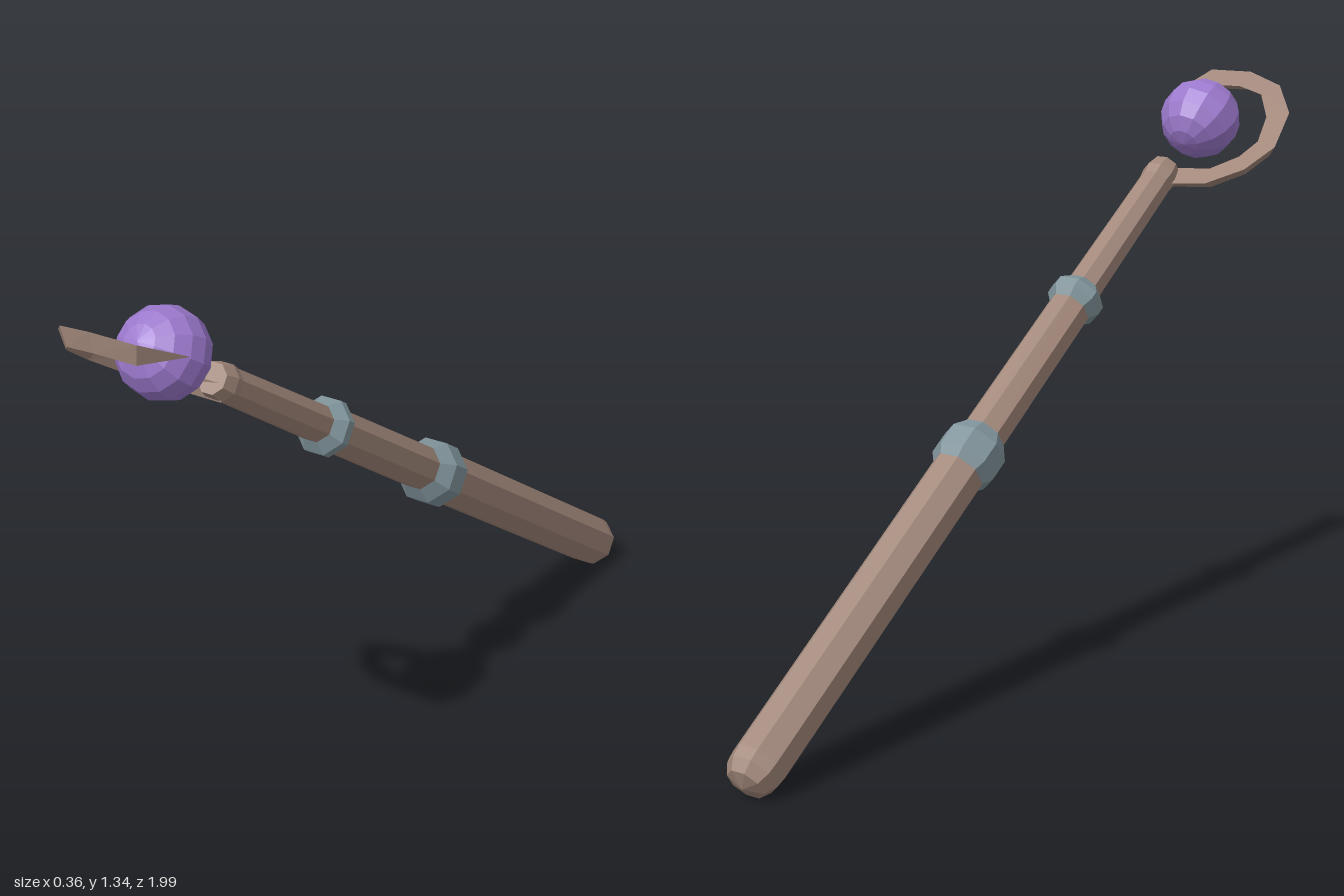
import * as THREE from 'three';

const mat = (color, extra = {}) => new THREE.MeshStandardMaterial({ color, flatShading: true, ...extra });

export function createModel() {
  const staff = new THREE.Group();
  staff.name = 'staff';
  const wood = mat(0xa08679), metal = mat(0x80949b), crystal = mat(0x9c79cd);

  const add = (name, geometry, material) => {
    const mesh = new THREE.Mesh(geometry, material);
    mesh.name = name;
    staff.add(mesh);
    return mesh;
  };
  // Eight-sided turned part; profile is [radius, height] from bottom to top
  const turned = (name, profile, material) => {
    const points = profile.map(([r, y]) => new THREE.Vector2(r, y));
    return add(name, new THREE.LatheGeometry(points, 8, Math.PI / 8), material);
  };

  // Shaft: thick handle with a rounded butt, then two thinner lengths
  turned('handle', [[0, 0], [0.046, 0.014], [0.062, 0.042], [0.065, 0.07], [0.064, 0.96], [0, 0.96]], wood);
  turned('middleShaft', [[0.055, 0.96], [0.052, 1.51]], wood);
  turned('upperShaft', [[0.045, 1.5], [0.041, 1.93], [0.045, 1.955], [0.036, 1.99], [0, 1.99]], wood);

  // Metal collars over the joints
  turned('lowerCollar', [[0.056, 0.92], [0.079, 0.955], [0.079, 1.012], [0.052, 1.055]], metal);
  turned('upperCollar', [[0.047, 1.468], [0.068, 1.496], [0.068, 1.52], [0.043, 1.55]], metal);

  // Crook: flat-backed hook with a ridge, each station [outer x, outer y, inner x, inner y]
  const stations = [
    [0.02, 1.93, 0.02, 1.99],
    [-0.128, 1.953, -0.115, 2.007],
    [-0.208, 2.017, -0.172, 2.06],
    [-0.25, 2.106, -0.195, 2.12],
    [-0.229, 2.233, -0.175, 2.21],
    [-0.155, 2.329, -0.12, 2.29],
    [-0.05, 2.37, -0.045, 2.313],
    [0.062, 2.365, 0.05, 2.305],
  ];
  const positions = [], index = [0, 1, 2];
  for (const [ox, oy, ix, iy] of stations) {
    positions.push(ox, oy, 0.006, ix, iy, 0.006, (ox + ix) / 2, (oy + iy) / 2, 0.042);
  }
  positions.push(0.11, 2.247, -0.01);
  const last = (stations.length - 1) * 3, tip = last + 3;
  for (let j = 0; j < 3; j++) {
    const k = (j + 1) % 3;
    for (let a = 0; a < last; a += 3) {
      index.push(a + j, a + 3 + j, a + 3 + k, a + j, a + 3 + k, a + k);
    }
    index.push(last + j, tip, last + k);
  }
  const hook = new THREE.BufferGeometry();
  hook.setAttribute('position', new THREE.Float32BufferAttribute(positions, 3));
  hook.setIndex(index);
  hook.computeVertexNormals();
  add('crook', hook, wood);

  // Orb floating inside the crook
  add('orb', new THREE.SphereGeometry(0.1, 12, 8), crystal).position.set(-0.012, 2.164, -0.01);

  // Lean the staff forward, butt on the ground
  staff.rotation.set(Math.atan2(0.832, 0.555), 0, 0.013);
  staff.position.set(0.096, 0.03, -0.985);

  const model = new THREE.Group();
  model.name = 'model';
  model.add(staff);
  return model;
}
